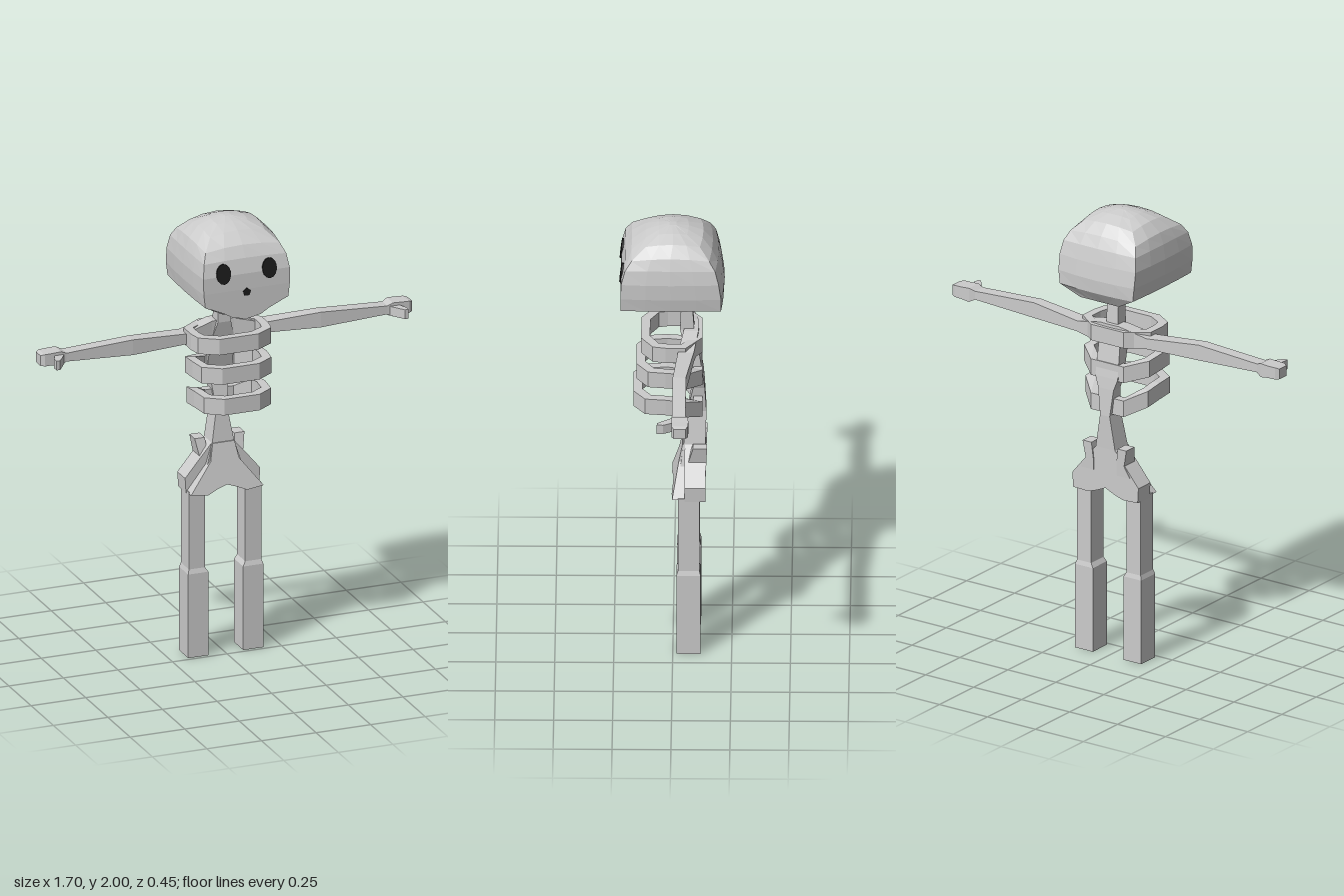
import * as THREE from 'three';

const bone = new THREE.MeshStandardMaterial({ color: 0xcccccc, flatShading: true });
bone.name = 'bone';
const socket = new THREE.MeshStandardMaterial({ color: 0x1c1c1c });
socket.name = 'socket black';

// Skins a list of equal rings of [x, y, z]; faces are turned outward by signed volume.
function loft(name, rings, closed = false) {
  const n = rings[0].length, tris = [];
  const quad = (a, b, c, d) => tris.push([a, b, c], [a, c, d]);
  const last = closed ? rings.length : rings.length - 1;
  for (let i = 0; i < last; i++) {
    const p = rings[i], q = rings[(i + 1) % rings.length];
    for (let j = 0; j < n; j++) quad(p[j], p[(j + 1) % n], q[(j + 1) % n], q[j]);
  }
  if (!closed) {
    const cap = (ring, flip) => {
      const c = [0, 1, 2].map(k => ring.reduce((s, p) => s + p[k], 0) / n);
      ring.forEach((p, j) => {
        const q = ring[(j + 1) % n];
        tris.push(flip ? [c, q, p] : [c, p, q]);
      });
    };
    cap(rings[0], true);
    cap(rings[rings.length - 1], false);
  }
  const v = a => new THREE.Vector3(...a);
  const volume = tris.reduce((s, [a, b, c]) => s + v(a).dot(v(b).cross(v(c))), 0);
  if (volume < 0) tris.forEach(t => t.reverse());
  const geo = new THREE.BufferGeometry();
  geo.setAttribute('position', new THREE.Float32BufferAttribute(tris.flat(2), 3));
  geo.computeVertexNormals();
  const mesh = new THREE.Mesh(geo, bone);
  mesh.name = name;
  return mesh;
}

// Square bars running up (rows of y, x0, x1, z0, z1) or sideways (x, y0, y1, z0, z1)
const barY = (name, rows, s = 1) => loft(name, rows.map(([y, a, b, c, d]) =>
  [[s * a, y, c], [s * b, y, c], [s * b, y, d], [s * a, y, d]]));
const barX = (name, rows, s = 1) => loft(name, rows.map(([x, a, b, c, d]) =>
  [[s * x, a, c], [s * x, b, c], [s * x, b, d], [s * x, a, d]]));

// Plate from a right-half outline, mirrored, with front and back depth as functions of y
function plate(name, half, back, front) {
  const outline = [...half, ...half.slice().reverse().filter(p => p[0] > 0).map(([x, y]) => [-x, y])];
  const geo = new THREE.ExtrudeGeometry(
    new THREE.Shape(outline.map(p => new THREE.Vector2(...p))), { depth: 1, bevelEnabled: false });
  const p = geo.attributes.position;
  for (let i = 0; i < p.count; i++) p.setZ(i, p.getZ(i) > 0.5 ? front(p.getY(i)) : back(p.getY(i)));
  geo.computeVertexNormals();
  const mesh = new THREE.Mesh(geo, bone);
  mesh.name = name;
  return mesh;
}

function createHead() {
  const head = new THREE.Group();
  head.name = 'head';
  // y, half width, back z, front z, bulge of the sides, rise of the middle
  const rows = [
    [1.63, 0.10, -0.18, 0.2, 0, 0], [1.68, 0.19, -0.205, 0.222, 0.006, 0],
    [1.74, 0.197, -0.205, 0.222, 0.008, 0], [1.81, 0.198, -0.195, 0.219, 0.008, 0],
    [1.87, 0.188, -0.18, 0.203, 0.008, 0.005], [1.91, 0.17, -0.155, 0.175, 0.008, 0.015],
    [1.955, 0.125, -0.115, 0.115, 0.008, 0.015], [1.985, 0.07, -0.06, 0.06, 0.004, 0.006],
    [2.0, 0.015, -0.015, 0.015, 0, 0],
  ];
  const N = 4;
  head.add(loft('skull', rows.map(([y, w, zb, zf, bulge, rise]) => {
    const ring = [];
    const corners = [[-w, zb], [w, zb], [w, zf], [-w, zf]];
    corners.forEach(([x, z], k) => {
      const [x2, z2] = corners[(k + 1) % 4];
      for (let i = 0; i < N; i++) {
        const t = i / N, b = 4 * t * (1 - t);
        const out = k === 2 ? 0 : bulge * b;
        ring.push([x + (x2 - x) * t + [0, out, 0, -out][k], y + rise * b,
          z + (z2 - z) * t + (k === 0 ? -out * 1.8 : 0)]);
      }
    });
    return ring;
  })));
  head.add(plate('jaw', [[0, 1.605], [0.065, 1.618], [0.1, 1.64], [0.188, 1.68], [0, 1.7]],
    () => 0.19, () => 0.222));
  // Eye sockets and nose
  for (const s of [-1, 1]) {
    const eye = new THREE.Mesh(new THREE.CylinderGeometry(1, 1, 0.008, 14).rotateX(Math.PI / 2), socket);
    eye.name = s > 0 ? 'leftEye' : 'rightEye';
    eye.scale.set(0.033, 0.045, 1);
    eye.position.set(s * 0.105, 1.82, 0.218);
    eye.rotation.x = -0.13;
    head.add(eye);
  }
  const nose = new THREE.Mesh(new THREE.CylinderGeometry(0.019, 0.019, 0.006, 5).rotateX(Math.PI / 2), socket);
  nose.name = 'nose';
  nose.rotation.z = Math.PI;
  nose.position.set(0, 1.727, 0.222);
  head.add(nose);
  return head;
}

// Rib: a closed band whose back slopes down to the spine
function rib(name, y0, y1, w, zf, drop) {
  const half = [[0, -0.125, 1], [0.085, -0.125, 1], [w, -0.055, 0.2], [w, 0.03, 0],
    [w * 0.94, zf - 0.05, 0], [w * 0.5, zf, 0], [0, zf, 0]];
  const path = [...half, ...half.slice(1, -1).reverse().map(([x, z, d]) => [-x, z, d])];
  const midZ = (zf - 0.125) / 2, kx = 1 - 0.038 / w, kz = 1 - 0.038 / (zf - midZ);
  return loft(name, path.map(([x, z, d]) => {
    const xi = x * kx, zi = midZ + (z - midZ) * kz, a = y0 - d * drop, b = y1 - d * drop;
    return [[x, a, z], [x, b, z], [xi, b, zi], [xi, a, zi]];
  }), true);
}

export function createModel() {
  const model = new THREE.Group();
  model.name = 'skeleton';
  model.add(createHead());

  // Neck and backbone
  model.add(barY('spine', [
    [1.65, -0.028, 0.028, -0.08, -0.035], [1.5, -0.03, 0.03, -0.09, -0.03],
    [1.41, -0.055, 0.055, -0.11, -0.05], [1.27, -0.058, 0.058, -0.13, -0.085],
    [1.22, -0.04, 0.04, -0.135, -0.085], [1.1, -0.025, 0.025, -0.142, -0.06],
    [0.95, -0.05, 0.05, -0.138, -0.045],
    [0.85, -0.08, 0.08, -0.135, -0.03]]));

  // Rib cage
  model.add(rib('upperRib', 1.42, 1.492, 0.178, 0.135, 0));
  model.add(rib('middleRib', 1.292, 1.365, 0.17, 0.155, 0.03));
  model.add(rib('lowerRib', 1.157, 1.23, 0.163, 0.168, 0.05));

  // Pelvis: broad back plate and sloping front plate
  model.add(plate('pelvisBack', [[0, 0.95], [0.05, 0.95], [0.11, 0.88], [0.172, 0.805],
    [0.168, 0.738], [0.09, 0.735], [0.045, 0.75], [0, 0.77]], () => -0.138, () => -0.05));
  model.add(plate('pelvisFront', [[0, 0.95], [0.05, 0.95], [0.065, 0.875], [0.166, 0.745],
    [0.09, 0.735], [0.045, 0.755], [0, 0.77]], () => -0.07, y => -0.04 + (0.95 - y) * 0.21));

  for (const s of [1, -1]) {
    const side = s > 0 ? 'left' : 'right';
    // Arm from the backbone to the fingertips
    model.add(barX(side + 'Arm', [
      [0, 1.41, 1.505, -0.11, -0.05], [0.05, 1.41, 1.505, -0.108, -0.045],
      [0.18, 1.427, 1.474, -0.09, -0.022], [0.43, 1.422, 1.491, -0.058, -0.002],
      [0.735, 1.437, 1.475, -0.06, -0.002], [0.76, 1.424, 1.486, -0.07, 0],
      [0.8, 1.43, 1.484, -0.072, 0], [0.835, 1.43, 1.483, -0.07, 0],
      [0.852, 1.432, 1.478, -0.06, -0.01]], s));
    model.add(loft(side + 'Thumb', [[0.74, 0.785, -0.01], [0.77, 0.807, 0.035], [0.79, 0.806, 0.062]]
      .map(([a, b, z]) => [[s * a, 1.43, z], [s * b, 1.43, z], [s * b, 1.472, z], [s * a, 1.472, z]])));
    // Hip wing
    model.add(barY(side + 'Hip', [
      [0.84, 0.06, 0.13, -0.14, -0.065], [0.89, 0.06, 0.1, -0.142, -0.065],
      [0.965, 0.068, 0.114, -0.145, -0.085]], s));
    // Thigh and thicker shin
    model.add(barY(side + 'Leg', [
      [0, 0.08, 0.172, -0.118, -0.015], [0.38, 0.08, 0.172, -0.118, -0.015],
      [0.4, 0.092, 0.166, -0.113, -0.022], [0.75, 0.092, 0.166, -0.113, -0.022]], s));
  }
  return model;
}
